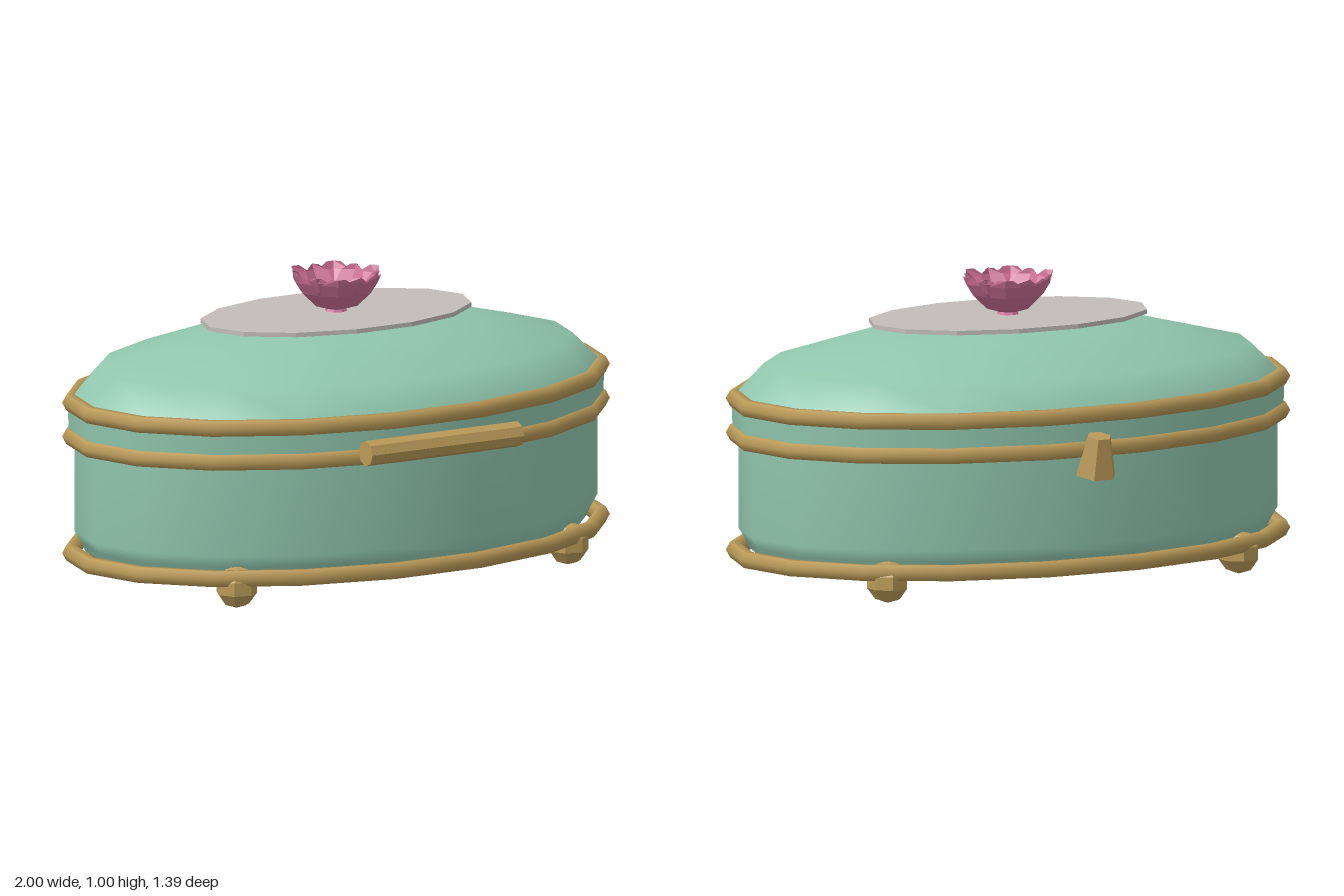
import * as THREE from 'three';

const mat = (name, color, side = THREE.FrontSide) => {
  const m = new THREE.MeshStandardMaterial({ color, side });
  m.name = name;
  return m;
};

export function createModel() {
  const teal = mat('celadon glaze', 0x90c6ad, THREE.DoubleSide);
  const gold = mat('brass', 0xba9a58);
  const stone = mat('pale grey', 0xc2bcb9);
  const pink = mat('rose pink', 0xcc7094, THREE.DoubleSide);
  const plum = mat('dark rose', 0x8a4763);

  const model = new THREE.Group();
  model.name = 'ovalBox';
  const SIDES = 18, DEPTH = 0.65, CZ = 0.01;

  const add = (name, geo, material, parent = model) => {
    const mesh = new THREE.Mesh(geo, material);
    mesh.name = name;
    parent.add(mesh);
    return mesh;
  };
  // faceted copy of a geometry
  const flat = (geo) => {
    const g = geo.index ? geo.toNonIndexed() : geo;
    g.computeVertexNormals();
    return g;
  };
  // round parts, squashed together into the oval
  const oval = new THREE.Group();
  oval.name = 'ovalParts';
  oval.scale.z = DEPTH;
  oval.position.z = CZ;
  model.add(oval);
  const lathe = (name, pts) => add(name,
    new THREE.LatheGeometry(pts.map(([r, y]) => new THREE.Vector2(r, y)), SIDES).rotateY(Math.PI / 2),
    teal, oval);

  // bowl, lid band and dome
  lathe('bowlWall', [[0.915, 0.11], [0.93, 0.14], [0.955, 0.18], [0.955, 0.5]]);
  add('bowlBottom', new THREE.CircleGeometry(0.915, SIDES).rotateX(Math.PI / 2), teal, oval).position.y = 0.11;
  lathe('lidBand', [[0.975, 0.5], [0.98, 0.61]]);
  lathe('lidDome', [[0.98, 0.61], [0.96, 0.64], [0.865, 0.732], [0.51, 0.82], [0.2, 0.846], [0, 0.85]]);

  // brass rims
  [['baseRim', 0.108], ['seamRim', 0.503], ['lidRim', 0.618]].forEach(([name, y]) => {
    const geo = new THREE.TorusGeometry(0.97, 0.03, 6, SIDES).rotateX(Math.PI / 2);
    add(name, geo, gold, oval).position.y = y;
  });

  // four ball feet
  for (const x of [-0.655, 0.655]) for (const z of [-0.405, 0.405]) {
    const foot = add('foot', flat(new THREE.SphereGeometry(0.073, 7, 5)), gold);
    foot.position.set(x, 0.073, z + CZ);
  }

  // front hinge bar
  const bar = new THREE.CylinderGeometry(0.043, 0.043, 0.6, 8).rotateZ(Math.PI / 2);
  add('hingeBar', flat(bar), gold).position.set(0, 0.525, 0.657);

  // tapered clasp at the back
  const clasp = add('clasp', flat(new THREE.CylinderGeometry(0.042, 0.072, 0.135, 6).rotateY(Math.PI / 6)), gold);
  clasp.position.set(0, 0.485, -0.644);
  clasp.rotation.x = -0.2;

  // oval plaque on the lid
  const plaque = new THREE.CylinderGeometry(0.5, 0.5, 0.015, 14).rotateY(Math.PI / 2).scale(1, 1, 0.61);
  add('plaque', flat(plaque), stone).position.set(0, 0.8575, CZ);

  // flower knob: each petal is a strip of [y, radius, half angle] rows
  const petal = (rows, turn) => {
    const pos = [], idx = [];
    rows.forEach(([y, r, half], j) => {
      for (let i = 0; i < 3; i++) {
        const a = turn + (i - 1) * half;
        const rr = r * (i === 1 ? 1.06 : 0.97);
        pos.push(Math.sin(a) * rr, y, Math.cos(a) * rr);
        if (j && i) {
          const p = j * 3 + i;
          idx.push(p - 4, p - 3, p, p - 4, p, p - 1);
        }
      }
    });
    const g = new THREE.BufferGeometry();
    g.setAttribute('position', new THREE.Float32BufferAttribute(pos, 3));
    g.setIndex(idx);
    return flat(g);
  };
  const flower = new THREE.Group();
  flower.name = 'flowerKnob';
  flower.position.z = CZ;
  model.add(flower);
  const outer = [[0.87, 0.02, 0.55], [0.888, 0.075, 0.55], [0.935, 0.122, 0.5], [0.975, 0.147, 0.4], [1.0, 0.158, 0.16]];
  const inner = [[0.872, 0.02, 0.55], [0.9, 0.07, 0.55], [0.945, 0.11, 0.48], [0.98, 0.13, 0.33], [0.998, 0.138, 0.1]];
  for (let k = 0; k < 6; k++) {
    const turn = k * Math.PI / 3;
    add('outerPetal', petal(outer, turn + Math.PI / 6), pink, flower);
    add('innerPetal', petal(inner, turn), pink, flower);
  }
  add('flowerStem', flat(new THREE.CylinderGeometry(0.03, 0.04, 0.02, 8)), pink, flower).position.y = 0.87;
  add('flowerHeart', flat(new THREE.SphereGeometry(0.036, 7, 5)), plum, flower).position.y = 0.9;

  return model;
}
